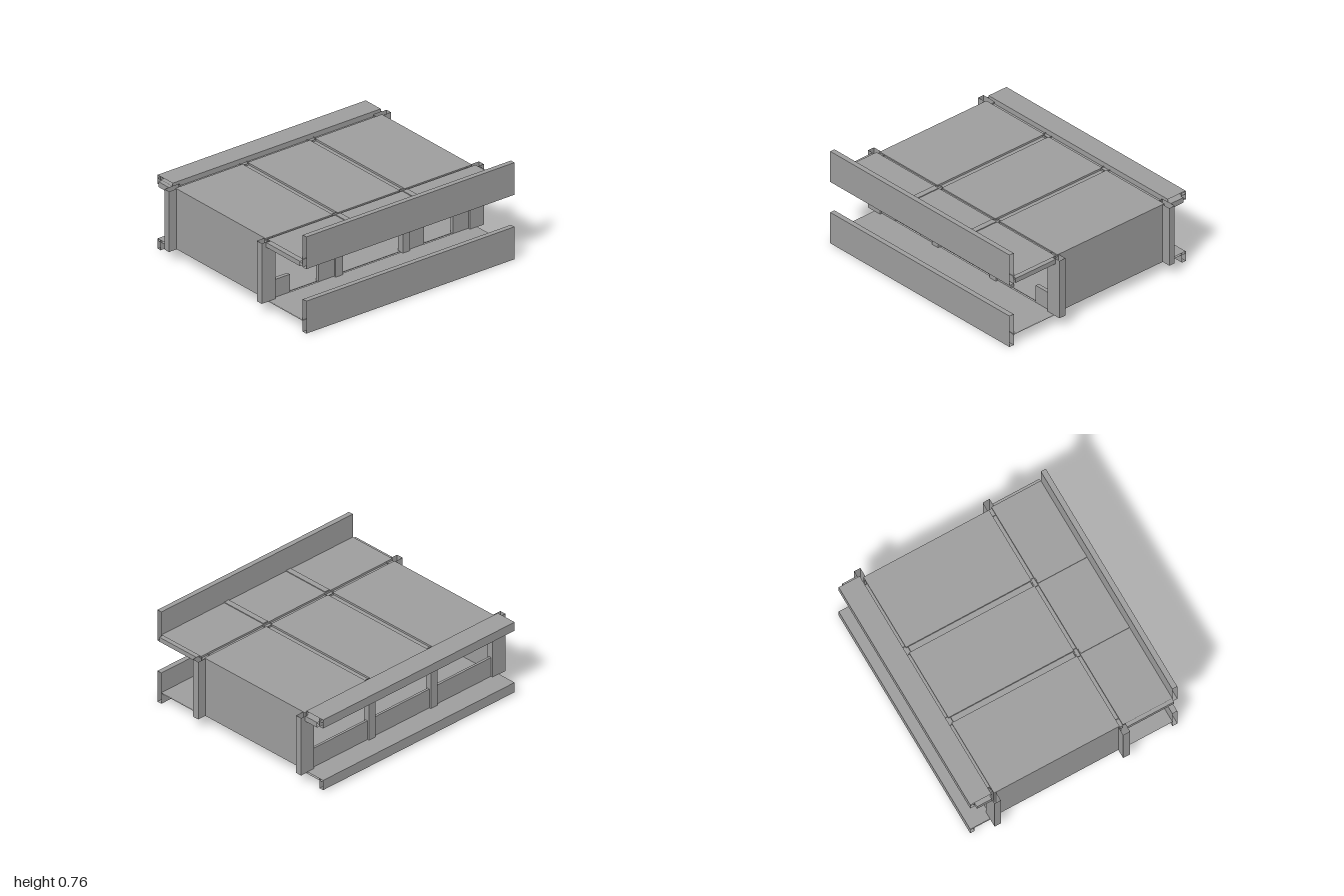
import * as THREE from 'three';

export function createModel() {
  const model = new THREE.Group();
  const material = new THREE.MeshStandardMaterial({
    color: 0x9d9d9d, flatShading: true, side: THREE.DoubleSide,
  });

  // Box between limits; open = 'x' | 'y' | 'z' leaves the two faces across that axis off
  function bar(name, [x0, x1], [y0, y1], [z0, z1], open) {
    const geometry = new THREE.BoxGeometry(x1 - x0, y1 - y0, z1 - z0);
    if (open) {
      const faces = Array.from(geometry.index.array);
      faces.splice('xyz'.indexOf(open) * 12, 12);
      geometry.setIndex(faces);
      geometry.clearGroups();
    }
    const mesh = new THREE.Mesh(geometry, material);
    mesh.name = name;
    mesh.position.set((x0 + x1) / 2, (y0 + y1) / 2, (z0 + z1) / 2);
    model.add(mesh);
  }

  // The same part on both sides of the model
  function pair(name, [x0, x1], y, z, open) {
    bar('left' + name, [x0, x1], y, z, open);
    bar('right' + name, [-x1, -x0], y, z, open);
  }

  const width = [-0.935, 0.94];
  const depth = [-0.645, 0.37];
  const wallHeight = [0.09, 0.565];
  const frontPost = [0.36, 0.415];
  const backPost = [-0.68, -0.63];

  // Floor, side walls, low back wall and three roof panels
  bar('floor', [-0.93, 0.93], [0.09, 0.095], [-0.66, 0.385]);
  pair('Wall', [0.915, 0.93], wallHeight, depth);
  bar('lowBackWall', [-0.9, 0.9], [0.095, 0.25], [-0.665, -0.645]);
  bar('middleRoofPanel', [-0.28, 0.28], [0.545, 0.565], depth);
  pair('RoofPanel', [0.325, 0.93], [0.545, 0.565], depth);

  // Roof beams in the grooves between the panels
  pair('RoofBeam', [0.28, 0.325], [0.51, 0.55], depth);
  bar('frontRoofBeam', [-0.935, 0.935], [0.51, 0.555], [0.37, 0.395]);
  bar('backRoofBeam', [-0.88, 0.88], [0.51, 0.555], [-0.67, -0.645]);

  // Hollow corner and middle posts
  for (const [end, z] of [['Front', frontPost], ['Back', backPost]]) {
    pair(end + 'CornerPost', [0.875, 1], wallHeight, z, 'y');
    pair(end + 'MiddlePost', [0.27, 0.335], wallHeight, z, 'y');
  }

  // Short panels beside the posts of the two outer bays
  pair('OuterBlock', [0.735, 0.875], [0.095, 0.235], [0.37, 0.4]);
  pair('InnerBlock', [0.335, 0.475], [0.095, 0.235], [0.37, 0.4]);

  // Front ledges with upright boards and strips in line with the roof beams
  bar('upperFrontLedge', width, [0.555, 0.57], [0.395, 0.8], 'x');
  pair('LedgeStrip', [0.28, 0.325], [0.56, 0.576], [0.4, 0.795]);
  bar('upperFrontBoard', width, [0.507, 0.76], [0.795, 0.835], 'x');
  bar('lowerFrontLedge', width, [0.085, 0.092], [0.395, 0.8], 'x');
  bar('lowerFrontBoard', width, [0, 0.255], [0.795, 0.835], 'x');

  // Back ledges with drop edges
  bar('upperBackLedge', width, [0.57, 0.595], [-0.84, -0.67], 'x');
  bar('upperBackEdge', width, [0.525, 0.595], [-0.84, -0.805], 'x');
  bar('upperBackInnerEdge', [-0.875, 0.875], [0.54, 0.58], [-0.69, -0.67], 'x');
  bar('lowerBackLedge', width, [0.08, 0.095], [-0.84, -0.66], 'x');
  bar('lowerBackEdge', width, [0.015, 0.095], [-0.84, -0.805], 'x');

  // Rails carrying the upper ledges at both ends
  pair('FrontRail', [0.92, 0.96], [0.523, 0.56], [0.415, 0.795], 'z');
  pair('BackRail', [0.92, 0.96], [0.523, 0.565], [-0.8, -0.68], 'z');

  return model;
}
